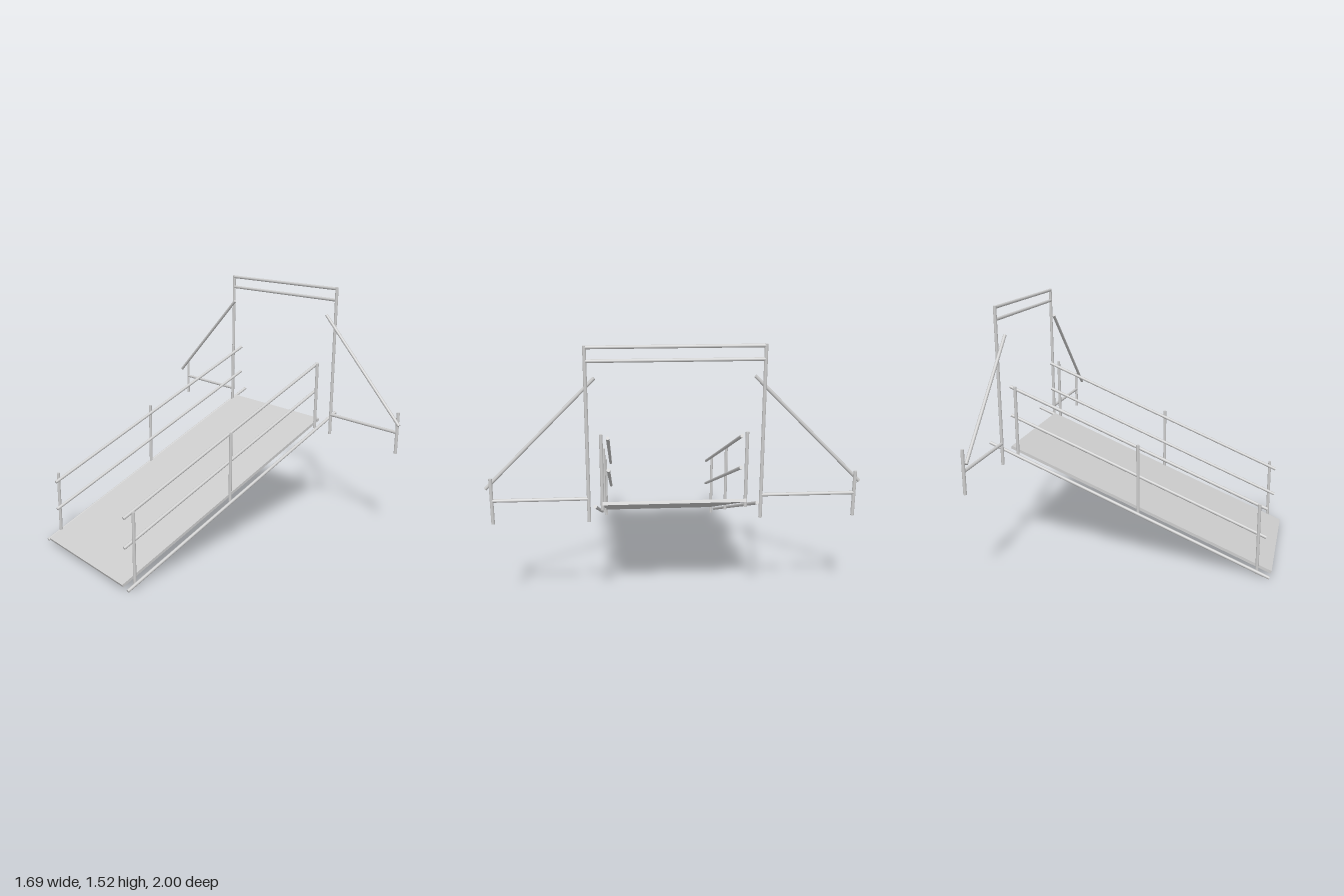
import * as THREE from 'three';

const R = 0.0095;
const mat = new THREE.MeshStandardMaterial({ color: 0xcccccc });

// Round tube between two points
function pipe(name, a, b) {
  const p = new THREE.Vector3(...a), q = new THREE.Vector3(...b);
  const dir = q.clone().sub(p);
  const mesh = new THREE.Mesh(new THREE.CylinderGeometry(R, R, dir.length(), 16), mat);
  mesh.position.copy(p).add(q).multiplyScalar(0.5);
  mesh.quaternion.setFromUnitVectors(new THREE.Vector3(0, 1, 0), dir.normalize());
  mesh.name = name;
  return mesh;
}

export function createModel() {
  const model = new THREE.Group();
  model.name = 'gangway';

  // Sloping deck plate
  const from = new THREE.Vector2(-0.842, 0.03), to = new THREE.Vector2(0.72, 0.673);
  const run = to.clone().sub(from);
  const deck = new THREE.Mesh(new THREE.BoxGeometry(run.length(), 0.017, 0.77), mat);
  deck.position.set((from.x + to.x) / 2, (from.y + to.y) / 2, 0);
  deck.rotation.z = run.angle();
  deck.name = 'deck';
  model.add(deck);

  for (const s of [1, -1]) {
    const side = new THREE.Group();
    side.name = s > 0 ? 'frontSide' : 'backSide';

    // Stringer and handrails running up the slope
    side.add(pipe('stringer', [-0.834, 0.011, s * 0.42], [0.838, 0.704, s * 0.42]));
    side.add(pipe('topRail', [-0.802, 0.403, s * 0.35], [0.724, 1.035, s * 0.35]));
    side.add(pipe('midRail', [-0.802, 0.229, s * 0.35], [0.724, 0.861, s * 0.35]));

    // Railing posts
    for (const [x, y0, y1] of [[-0.761, 0.013, 0.442], [-0.056, 0.316, 0.741], [0.679, 0.622, 1.043]])
      side.add(pipe('railPost', [x, y0, s * 0.386], [x, y1, s * 0.386]));

    // Upright of the portal with its outrigger and diagonal brace
    side.add(pipe('portalPost', [0.748, 0.585, s * 0.456], [0.748, 1.521, s * 0.456]));
    side.add(pipe('outriggerPost', [0.748, 0.585, s * 0.959], [0.748, 0.836, s * 0.959]));
    side.add(pipe('outriggerBar', [0.748, 0.714, s * 0.456], [0.748, 0.714, s * 0.959]));
    side.add(pipe('brace', [0.714, 0.769, s * 0.993], [0.714, 1.35, s * 0.412]));
    model.add(side);
  }

  // Cross bars at the top of the portal
  for (const y of [1.512, 1.443])
    model.add(pipe('portalBar', [0.748, y, -0.456], [0.748, y, 0.456]));

  return model;
}
